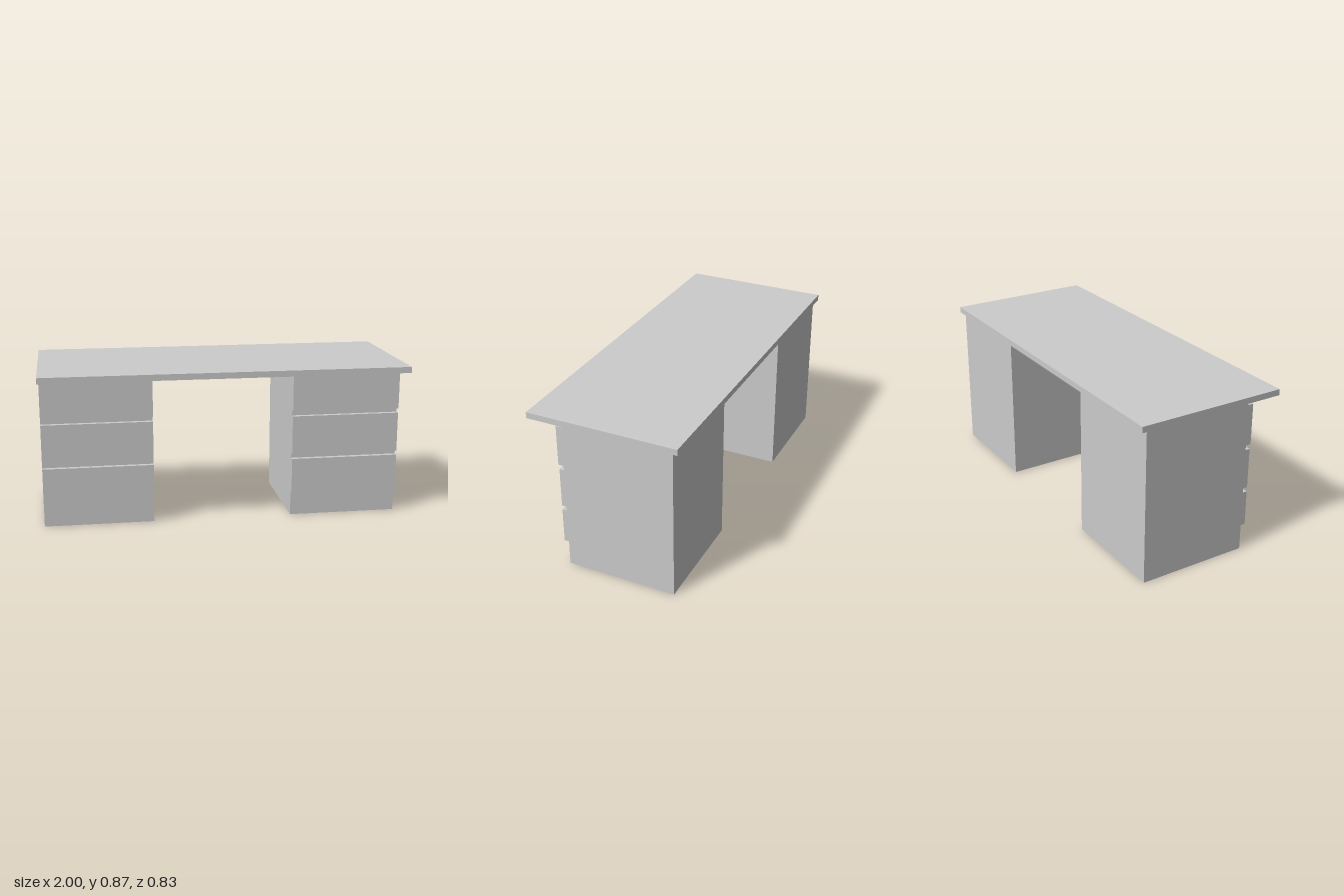
import * as THREE from 'three';

export function createModel() {
  const group = new THREE.Group();
  const material = new THREE.MeshStandardMaterial({ color: 0xcccccc, flatShading: true });

  // Box given by its centre x, width, and y and z ranges
  function addBox(parent, name, x, width, [y0, y1], [z0, z1]) {
    const mesh = new THREE.Mesh(new THREE.BoxGeometry(width, y1 - y0, z1 - z0), material);
    mesh.position.set(x, (y0 + y1) / 2, (z0 + z1) / 2);
    mesh.name = name;
    parent.add(mesh);
  }

  addBox(group, 'desktop', 0, 2, [0.84, 0.873], [-0.414, 0.414]);

  // Two drawer pedestals, set a hair towards the right
  const drawers = [
    ['topDrawer', [0.606, 0.829], 0.252],
    ['middleDrawer', [0.36, 0.58], 0.248],
    ['bottomDrawer', [0.14, 0.335], 0.248],
  ];
  for (const [side, x] of [['left', 0.688], ['right', -0.692]]) {
    const pedestal = new THREE.Group();
    pedestal.name = side + 'Pedestal';
    addBox(pedestal, 'cabinet', x, 0.604, [0, 0.84], [-0.385, 0.222]);
    // Drawer fronts standing proud of the cabinet
    for (const [name, yRange, zFront] of drawers) {
      addBox(pedestal, name, x, 0.604, yRange, [0.222, zFront]);
    }
    group.add(pedestal);
  }

  return group;
}
